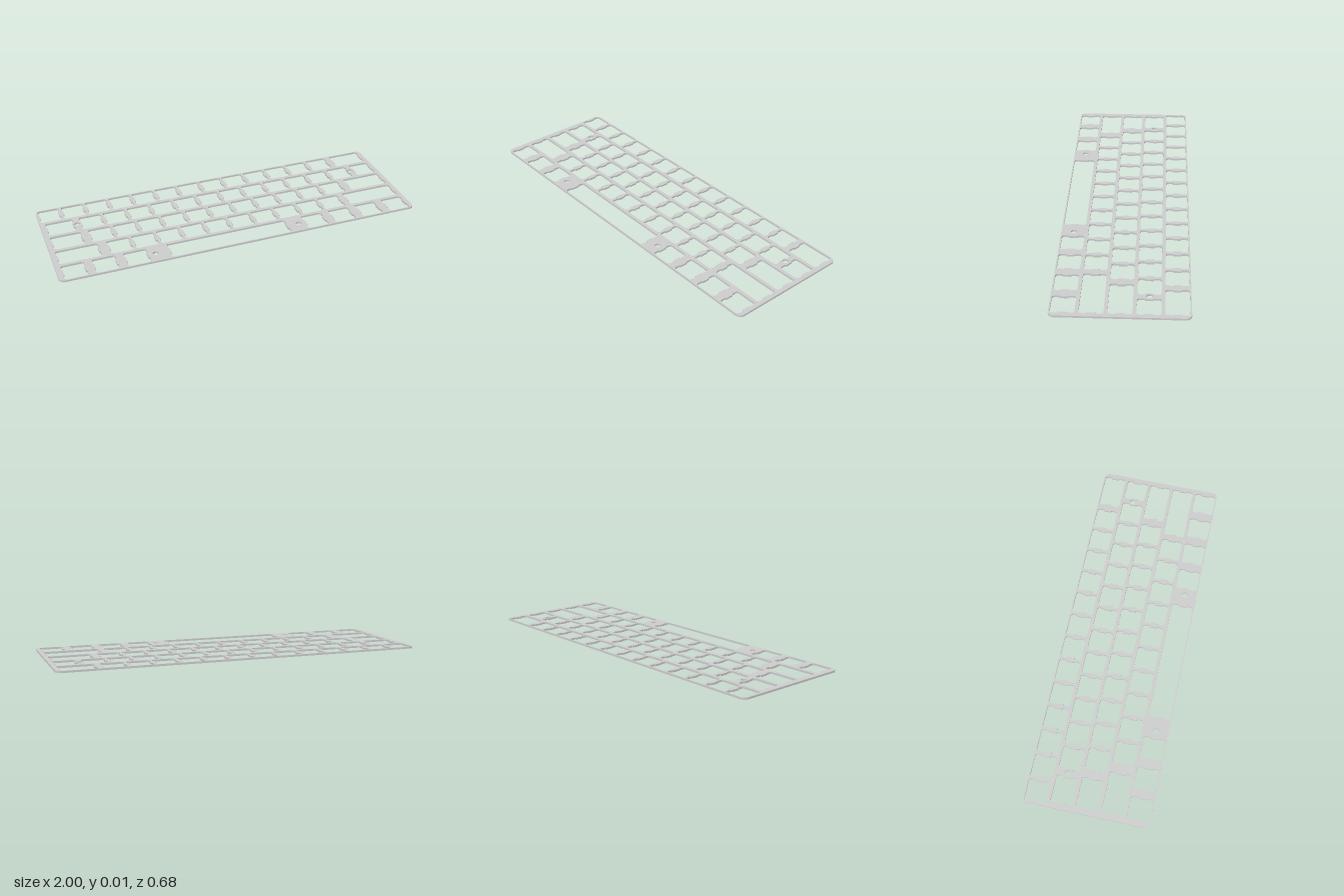
import * as THREE from 'three';

const THICK = 0.0105;
const PITCH = 0.136;      // spacing of one key, in x and z
const HALF_H = 0.059;     // half depth of a key opening
const GAP = 0.007;        // half width of the thin rib between keys

// Key rows from back to front: a run of evenly spaced openings, plus wider ones given as [left, right]
const ROWS = [
  { start: -0.866, count: 12, extra: [[-0.99, -0.873], [0.79, 0.977]] },
  { start: -0.795, count: 12, extra: [[-0.972, -0.822], [0.86, 0.977]] },
  { start: -0.773, count: 11, extra: [[-0.972, -0.806], [0.753, 0.977]] },
  { start: -0.707, count: 10, extra: [[-0.972, -0.747], [0.678, 0.977]] },
  { start: 0, count: 0, extra: [
    [-0.972, -0.85], [-0.811, -0.688], [-0.645, -0.522], [-0.41, 0.26],
    [0.36, 0.48], [0.522, 0.645], [0.688, 0.811], [0.854, 0.977]] },
];

// Screw holes as [x, z]
const SCREWS = [[-0.807, -0.138], [0.842, -0.138], [-0.484, 0.271], [0.324, 0.271]];

function roundedOutline(hx, hy, r) {
  const s = new THREE.Shape();
  s.absarc(hx - r, hy - r, r, 0, Math.PI / 2);
  s.absarc(-hx + r, hy - r, r, Math.PI / 2, Math.PI);
  s.absarc(-hx + r, -hy + r, r, Math.PI, Math.PI * 1.5);
  s.absarc(hx - r, -hy + r, r, Math.PI * 1.5, Math.PI * 2);
  s.closePath();
  return s;
}

// Rounded opening with a small tab reaching in from the middle of each side
function keyOpening(left, right, y) {
  const r = 0.015, tab = 0.0065, th = 0.021;
  const top = y + HALF_H, bottom = y - HALF_H;
  const p = new THREE.Path();
  p.moveTo(left + r, bottom);
  p.lineTo(right - r, bottom);
  p.quadraticCurveTo(right, bottom, right, bottom + r);
  p.lineTo(right, y - th);
  p.lineTo(right - tab, y - th);
  p.lineTo(right - tab, y + th);
  p.lineTo(right, y + th);
  p.lineTo(right, top - r);
  p.quadraticCurveTo(right, top, right - r, top);
  p.lineTo(left + r, top);
  p.quadraticCurveTo(left, top, left, top - r);
  p.lineTo(left, y + th);
  p.lineTo(left + tab, y + th);
  p.lineTo(left + tab, y - th);
  p.lineTo(left, y - th);
  p.lineTo(left, bottom + r);
  p.quadraticCurveTo(left, bottom, left + r, bottom);
  return p;
}

export function createModel() {
  const group = new THREE.Group();
  group.name = 'keyboardPlate';

  const shape = roundedOutline(1, 0.338, 0.03);

  // Key openings
  ROWS.forEach((row, i) => {
    const y = (2 - i) * PITCH;
    for (let k = 0; k < row.count; k++) {
      const x = row.start + k * PITCH;
      shape.holes.push(keyOpening(x + GAP, x + PITCH - GAP, y));
    }
    row.extra.forEach(([l, r]) => shape.holes.push(keyOpening(l, r, y)));
  });

  // Screw holes
  SCREWS.forEach(([x, z]) => {
    const p = new THREE.Path();
    p.absarc(x, -z, 0.016, 0, Math.PI * 2, true);
    shape.holes.push(p);
  });

  // Flat plate laid down on the ground
  const geo = new THREE.ExtrudeGeometry(shape, { depth: THICK, bevelEnabled: false, curveSegments: 8 });
  geo.rotateX(-Math.PI / 2);
  const plate = new THREE.Mesh(geo, new THREE.MeshStandardMaterial({ color: 0xcccccc }));
  plate.name = 'switchPlate';
  group.add(plate);
  return group;
}
